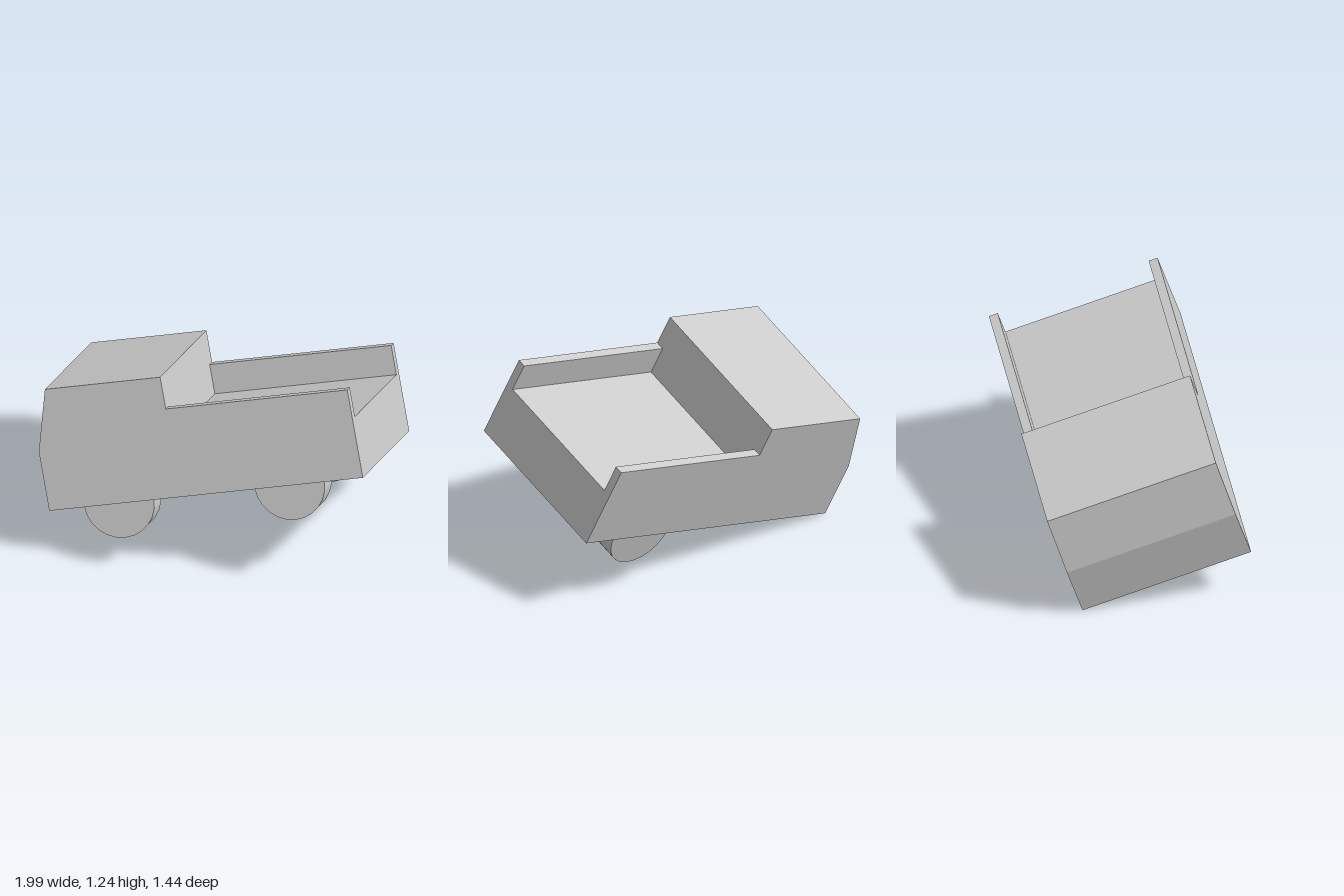
import * as THREE from 'three';

const LENGTH = 1.862, WIDTH = 1.009, FLOOR = 0.345, WALL_TOP = 0.517, CAB_BACK = 0.784;

export function createModel() {
  const model = new THREE.Group();
  const material = new THREE.MeshStandardMaterial({ color: 0xcccccc });

  // Truck space: x runs nose to tail, y up, z across (0 is one flank, -WIDTH the other)
  const truck = new THREE.Group();
  truck.name = 'truck';
  model.add(truck);

  const add = (name, geometry, x, y, z) => {
    const mesh = new THREE.Mesh(geometry, material);
    mesh.name = name;
    mesh.position.set(x, y, z);
    truck.add(mesh);
    return mesh;
  };

  // Chassis and cab share one side profile with a sloped windscreen
  const profile = new THREE.Shape([
    [0, 0], [LENGTH, 0], [LENGTH, FLOOR], [CAB_BACK, FLOOR],
    [CAB_BACK, 0.704], [0.1, 0.704], [0, 0.347],
  ].map(([x, y]) => new THREE.Vector2(x, y)));
  add('cabAndChassis',
    new THREE.ExtrudeGeometry(profile, { depth: WIDTH, bevelEnabled: false }), 0, 0, -WIDTH);

  // Low side walls of the open-ended bed
  const thickness = 0.053;
  const wall = new THREE.BoxGeometry(LENGTH - CAB_BACK, WALL_TOP - FLOOR, thickness);
  for (const [name, z] of [['leftBedWall', -thickness / 2], ['rightBedWall', -WIDTH + thickness / 2]]) {
    add(name, wall, (LENGTH + CAB_BACK) / 2, (WALL_TOP + FLOOR) / 2, z);
  }

  // Three wheels, half sunk in the chassis; one front wheel is missing
  const wheel = new THREE.CylinderGeometry(0.207, 0.207, 0.15, 24).rotateX(Math.PI / 2);
  const inset = 0.022 + 0.075;
  add('frontLeftWheel', wheel, 0.408, 0, -inset);
  add('rearLeftWheel', wheel, 1.42, 0, -inset);
  add('rearRightWheel', wheel, 1.42, 0, -WIDTH + inset);

  // The truck rests tipped over towards the corner with no wheel
  const along = new THREE.Vector3(0.9505, 0.247, -0.188).normalize();
  const across = new THREE.Vector3(0.109, 0.3024, 0.9469);
  const up = across.clone().cross(along).normalize();
  across.crossVectors(along, up);
  truck.quaternion.setFromRotationMatrix(new THREE.Matrix4().makeBasis(along, up, across));
  truck.position.set(-0.775, 0.308, 0.718);

  return model;
}
